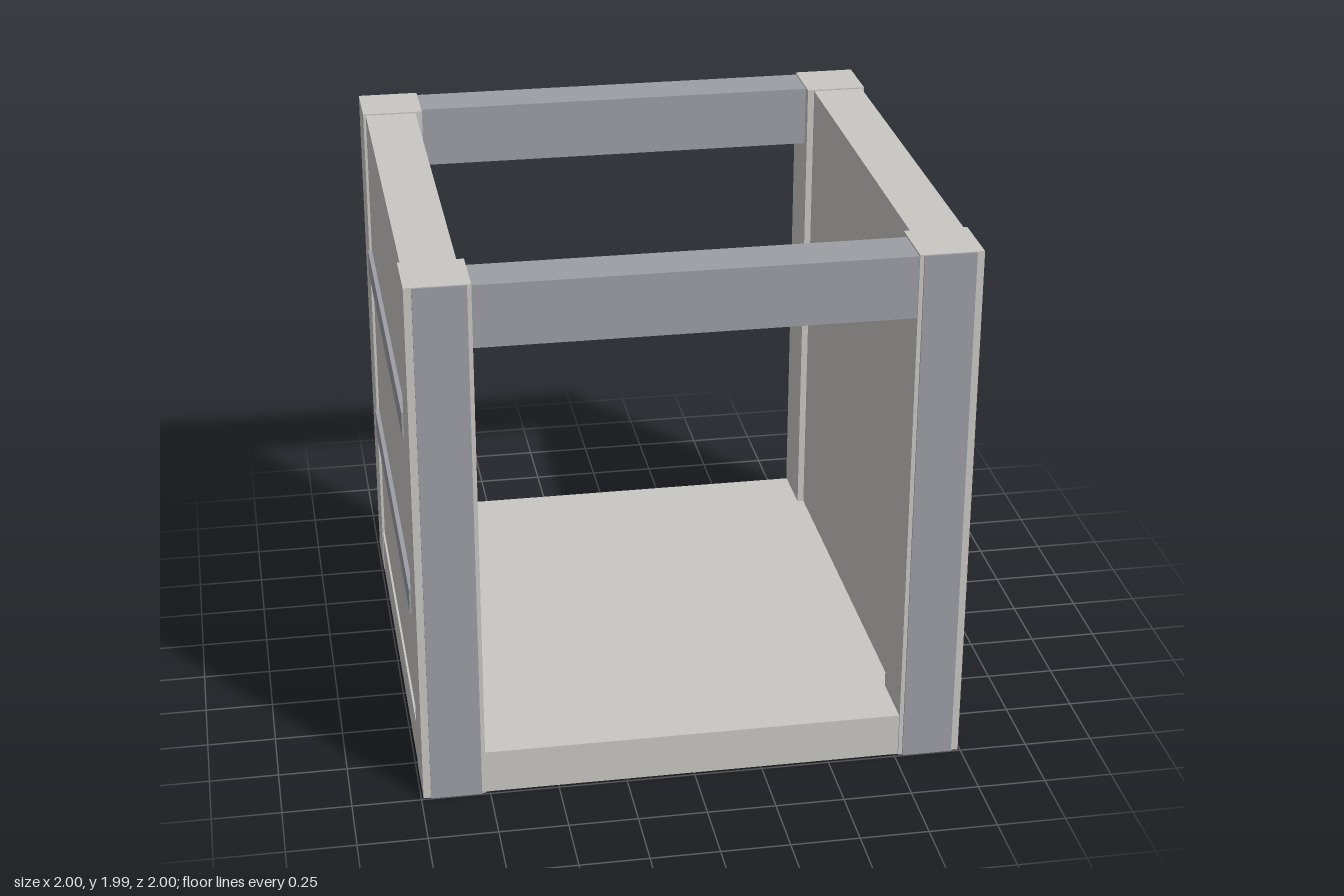
import * as THREE from 'three';

export function createModel() {
  const model = new THREE.Group();
  model.name = 'openCrateFrame';

  const lightGrey = new THREE.MeshStandardMaterial({ color: 0xc9c7c4 });
  lightGrey.name = 'light grey';
  const blueGrey = new THREE.MeshStandardMaterial({ color: 0x9d9ea5 });
  blueGrey.name = 'blue grey';

  // Box given by its lower and upper limits on each axis
  function box(name, material, [x0, x1], [y0, y1], [z0, z1]) {
    const mesh = new THREE.Mesh(new THREE.BoxGeometry(x1 - x0, y1 - y0, z1 - z0), material);
    mesh.position.set((x0 + x1) / 2, (y0 + y1) / 2, (z0 + z1) / 2);
    mesh.name = name;
    model.add(mesh);
  }
  // Mirrors a range to the negative side
  const side = (s, a, b) => (s > 0 ? [a, b] : [-b, -a]);

  // Floor slab between the side walls
  box('floor', lightGrey, [-0.79, 0.79], [0, 0.165], [-0.985, 0.985]);

  for (const sx of [-1, 1]) {
    // Side wall, set slightly behind the posts
    box('sideWall', lightGrey, side(sx, 0.79, 0.982), [0, 1.985], [-0.765, 0.765]);
    // Bottom rail of the side, flush with the posts
    box('sideSill', lightGrey, side(sx, 0.78, 0.99), [0, 0.165], [-0.765, 0.765]);
    // Horizontal side strips
    for (const y of [0.635, 1.33])
      box('sideStrip', blueGrey, side(sx, 0.97, 0.998), [y, y + 0.098], [-0.762, 0.762]);

    for (const sz of [-1, 1]) {
      // Corner post with a facing plate on its outer end
      box('cornerPost', lightGrey, side(sx, 0.765, 0.992), [0, 1.99], side(sz, 0.765, 0.992));
      box('postFacing', blueGrey, side(sx, 0.78, 0.965), [0, 1.988], side(sz, 0.991, 0.998));
    }
  }

  // Top beams at the front and back
  for (const sz of [-1, 1])
    box('topBeam', blueGrey, [-0.77, 0.77], [1.755, 1.983], side(sz, 0.805, 0.986));

  return model;
}
